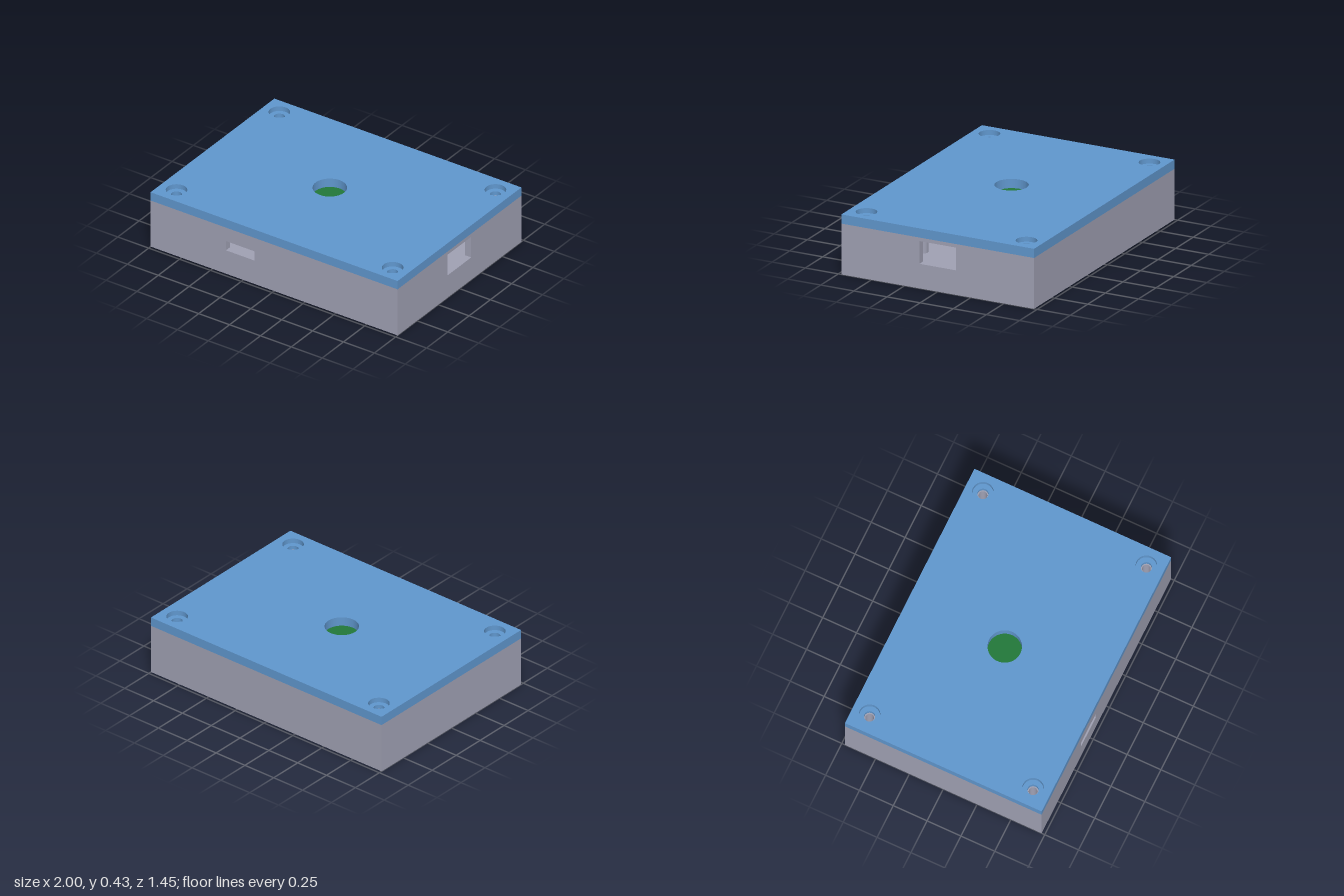
import * as THREE from 'three';

const W = 2, D = 1.454, H = 0.425;   // overall size
const SEAM = 0.36;                   // where the lid meets the body
const T = 0.05;                      // wall and floor thickness
const SCREW_X = 0.875, SCREW_Z = 0.604;

const paint = (color) => new THREE.MeshStandardMaterial({ color, flatShading: false });

function rect(x0, y0, x1, y1, Type = THREE.Shape) {
  const r = new Type();
  r.moveTo(x0, y0);
  r.lineTo(x1, y0);
  r.lineTo(x1, y1);
  r.lineTo(x0, y1);
  r.closePath();
  return r;
}

function disc(x, y, radius, Type = THREE.Path) {
  const c = new Type();
  c.absarc(x, y, radius, 0, Math.PI * 2, false);
  return c;
}

const extrude = (shape, depth) =>
  new THREE.ExtrudeGeometry(shape, { depth, bevelEnabled: false, curveSegments: 32 });

// Extrude a plan drawing upward from height y
function slab(shape, y, height) {
  return extrude(shape, height).rotateX(-Math.PI / 2).translate(0, y, 0);
}

function corners(fn) {
  for (const sx of [-1, 1]) for (const sz of [-1, 1]) fn(sx, sz);
}

export function createModel() {
  const model = new THREE.Group();
  model.name = 'electronicsEnclosure';
  const bodyPaint = paint(0xa0a1b4);
  const lidPaint = paint(0x6097ce);
  const boardPaint = paint(0x22783a);
  const metalPaint = paint(0x8a8a86);

  const add = (parent, name, geometry, material) => {
    const mesh = new THREE.Mesh(geometry, material);
    mesh.name = name;
    parent.add(mesh);
    return mesh;
  };

  // Body: floor and four walls, two of them with port openings
  const body = new THREE.Group();
  body.name = 'body';
  model.add(body);
  add(body, 'floor', new THREE.BoxGeometry(W, T, D).translate(0, T / 2, 0), bodyPaint);

  const frontShape = rect(-W / 2, T, W / 2, SEAM);
  frontShape.holes.push(rect(-0.39, 0.183, -0.16, 0.255, THREE.Path));
  add(body, 'frontWall', extrude(frontShape, T).translate(0, 0, D / 2 - T), bodyPaint);

  const back = rect(-W / 2, T, W / 2, SEAM);
  add(body, 'backWall', extrude(back, T).translate(0, 0, -D / 2), bodyPaint);

  const sideHalf = D / 2 - T;
  const leftShape = rect(-sideHalf, T, sideHalf, SEAM);
  leftShape.holes.push(rect(-0.138, 0.174, 0.138, 0.335, THREE.Path));
  add(body, 'leftWall',
    extrude(leftShape, T).rotateY(Math.PI / 2).translate(W / 2 - T, 0, 0), bodyPaint);

  const rightShape = rect(-sideHalf, T, sideHalf, SEAM);
  add(body, 'rightWall',
    extrude(rightShape, T).rotateY(Math.PI / 2).translate(-W / 2, 0, 0), bodyPaint);

  // Screw bosses with pilot holes
  corners((sx, sz) => {
    const ring = disc(sx * SCREW_X, sz * SCREW_Z, 0.07, THREE.Shape);
    ring.holes.push(disc(sx * SCREW_X, sz * SCREW_Z, 0.029));
    add(body, 'screwBoss', slab(ring, T, SEAM - T), bodyPaint);
  });

  // Lid: narrow screw holes below, wide counterbores above, round window through both
  const lid = new THREE.Group();
  lid.name = 'lid';
  model.add(lid);
  const lidLayer = (name, y, height, screwRadius) => {
    const plan = rect(-W / 2, -D / 2, W / 2, D / 2);
    plan.holes.push(disc(-0.05, 0, 0.115));
    corners((sx, sz) => plan.holes.push(disc(sx * SCREW_X, sz * SCREW_Z, screwRadius)));
    add(lid, name, slab(plan, y, height), lidPaint);
  };
  const STEP = 0.39;
  lidLayer('lidLower', SEAM, STEP - SEAM, 0.037);
  lidLayer('lidUpper', STEP, H - STEP, 0.072);

  // Circuit board on standoffs, with its connector facing the side opening
  const boardX = -0.05, boardW = 1.2, boardD = 0.95, boardTop = 0.199, boardT = 0.027;
  const board = new THREE.Group();
  board.name = 'circuitBoard';
  model.add(board);
  add(board, 'boardPlate',
    new THREE.BoxGeometry(boardW, boardT, boardD)
      .translate(boardX, boardTop - boardT / 2, 0), boardPaint);
  add(board, 'connector',
    new THREE.BoxGeometry(0.28, 0.112, 0.226)
      .translate(boardX + boardW / 2 - 0.11, boardTop + 0.056, 0), metalPaint);
  const postH = boardTop - boardT - T;
  corners((sx, sz) => add(board, 'standoff',
    new THREE.CylinderGeometry(0.04, 0.04, postH, 24)
      .translate(boardX + sx * (boardW / 2 - 0.08), T + postH / 2, sz * (boardD / 2 - 0.08)),
    bodyPaint));

  return model;
}
